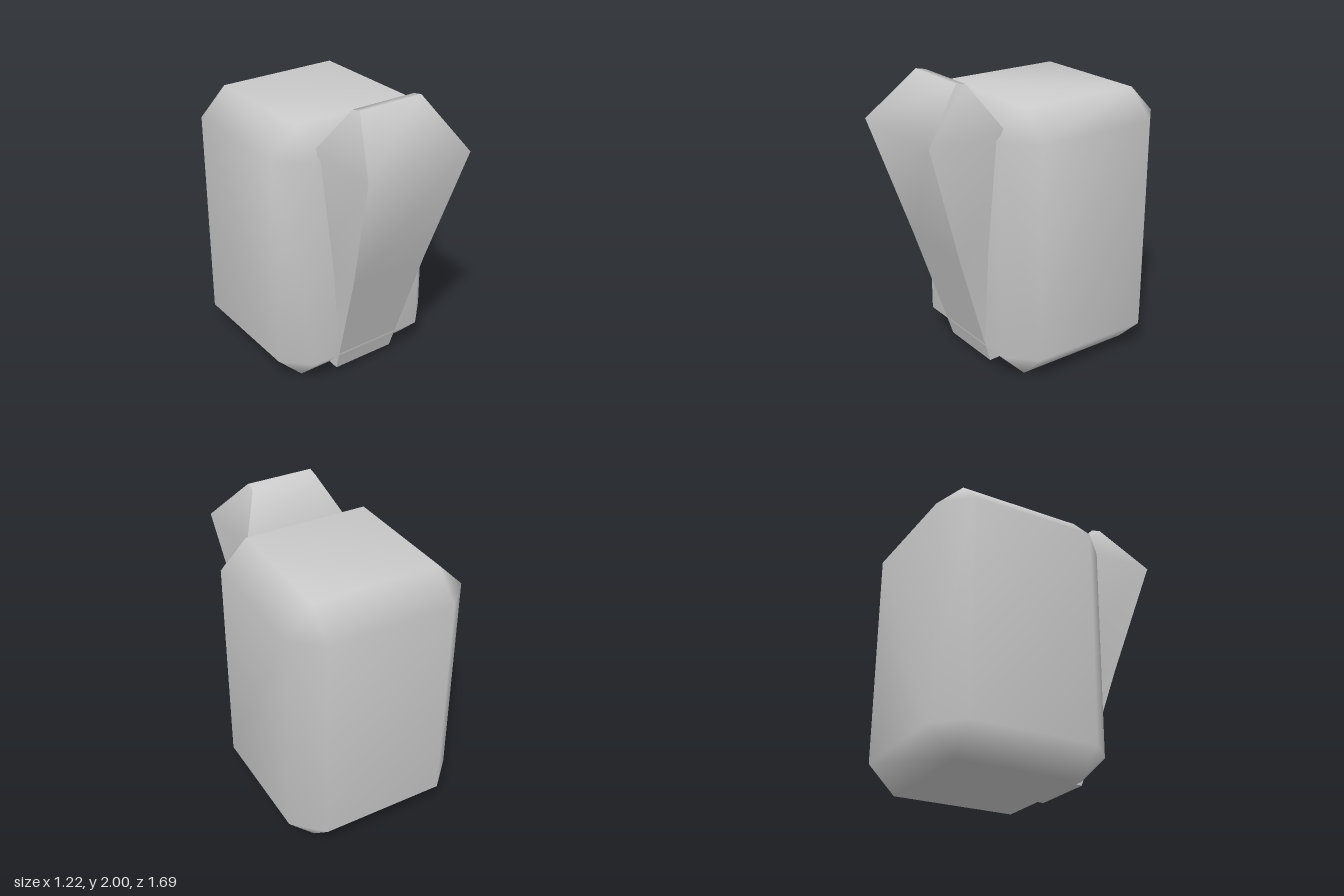
import * as THREE from 'three';
import { mergeVertices, mergeGeometries } from 'three/addons/utils/BufferGeometryUtils.js';
import { ConvexGeometry } from 'three/addons/geometries/ConvexGeometry.js';

const grey = () => new THREE.MeshStandardMaterial({ color: 0xcccccc });

// Box with one wide bevel on every edge, shaded smoothly across the bevels
function bevelledBox(w, h, d, bevel) {
  const half = [w / 2, h / 2, d / 2];
  const points = [];
  for (const sx of [-1, 1]) for (const sy of [-1, 1]) for (const sz of [-1, 1]) {
    const sign = [sx, sy, sz];
    for (let axis = 0; axis < 3; axis++) {
      points.push(new THREE.Vector3(
        ...half.map((v, i) => sign[i] * (i === axis ? v : v - bevel))));
    }
  }
  const geometry = new ConvexGeometry(points);
  geometry.deleteAttribute('normal');
  const merged = mergeVertices(geometry, 1e-4);
  merged.computeVertexNormals();
  return merged;
}

// Ribbon of quads between two rails, smooth along its length
function strip(railA, railB) {
  const positions = [];
  const index = [];
  railA.forEach((a, i) => {
    positions.push(...a, ...railB[i]);
    if (i > 0) {
      const k = 2 * i;
      index.push(k - 2, k - 1, k + 1, k - 2, k + 1, k);
    }
  });
  const geometry = new THREE.BufferGeometry();
  geometry.setAttribute('position', new THREE.Float32BufferAttribute(positions, 3));
  geometry.setIndex(index);
  geometry.computeVertexNormals();
  return geometry;
}

// Leaning wedge: sections of half width, front [y, z] and back [y, z], bottom to top
function wedgeGeometry() {
  const sections = [
    { x: 0.23, front: [0.05, 0.33], back: [0.055, 0.2] },
    { x: 0.285, front: [0.87, 0.588], back: [0.87, 0.2] },
    { x: 0.385, front: [1.69, 0.845], back: [1.68, 0.29] },
    { x: 0.23, front: [2.0, 0.555], back: [1.985, 0.485] },
  ];
  const rail = (side, face) => sections.map((s) => [side * s.x, ...s[face]]);
  const frontL = rail(1, 'front');
  const frontR = rail(-1, 'front');
  const backL = rail(1, 'back');
  const backR = rail(-1, 'back');
  return mergeGeometries([
    strip(frontR, frontL),
    strip(frontL, backL),
    strip(backR, frontR),
    // the narrow top rolls over into the back
    strip([...backL, frontL[3]], [...backR, frontR[3]]),
    strip([backR[0], frontR[0]], [backL[0], frontL[0]]),
  ]);
}

export function createModel() {
  const model = new THREE.Group();
  model.name = 'model';

  // Main body
  const body = new THREE.Mesh(bevelledBox(1.22, 1.835, 1.22, 0.183), grey());
  body.name = 'body';
  body.position.set(0, 0.9175, -0.235);
  model.add(body);

  // Wedge leaning out from the front
  const wedge = new THREE.Mesh(wedgeGeometry(), grey());
  wedge.name = 'frontWedge';
  model.add(wedge);

  return model;
}
